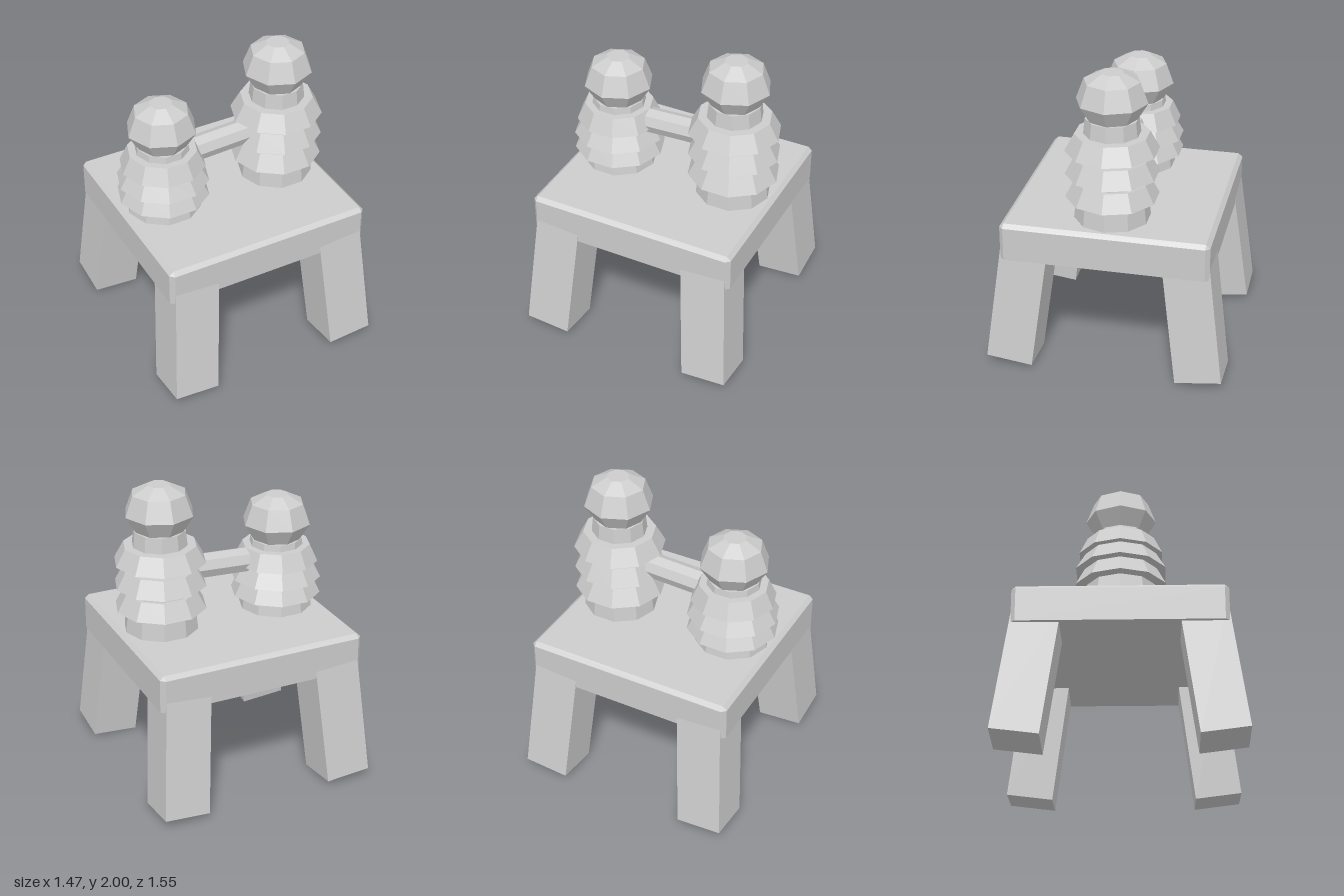
import * as THREE from 'three';
import { ConvexGeometry } from 'three/addons/geometries/ConvexGeometry.js';

const grey = new THREE.MeshStandardMaterial({ color: 0xcccccc, flatShading: true });
grey.name = 'plain grey';

function add(parent, name, geometry) {
  const mesh = new THREE.Mesh(geometry, grey);
  mesh.name = name;
  parent.add(mesh);
  return mesh;
}

// Closed faceted solid of revolution from [radius, y] pairs, bottom to top
function turned(profile, sides) {
  const points = profile.map(([r, y]) => new THREE.Vector2(r, y));
  points.unshift(new THREE.Vector2(0, points[0].y));
  points.push(new THREE.Vector2(0, points[points.length - 1].y));
  return new THREE.LatheGeometry(points, sides).rotateY(Math.PI / 2);
}

// Slab with chamfered upright corners and bevelled top edges
function slab() {
  const X = 0.703, Z = 0.675, c = 0.028, points = [];
  for (const sx of [-1, 1]) {
    for (const sz of [-1, 1]) {
      for (const y of [0.775, 0.997]) {
        points.push(new THREE.Vector3(sx * X, y, sz * (Z - c)));
        points.push(new THREE.Vector3(sx * (X - c), y, sz * Z));
      }
      points.push(new THREE.Vector3(sx * (X - c), 1.022, sz * (Z - c)));
    }
  }
  return new ConvexGeometry(points);
}

// Splayed square leg, its sole square to the slanted axis
function leg(sx, sz) {
  const geometry = new THREE.BoxGeometry(2, 2, 2);
  const p = geometry.attributes.position;
  for (let i = 0; i < p.count; i++) {
    const ox = p.getX(i) * sx, oz = p.getZ(i) * sz; // +1 outer, -1 inner
    const rise = p.getY(i) > 0 ? 0.86 : 0;
    p.setXYZ(i,
      sx * (0.583 + 0.152 * ox - 0.078 * rise),
      0.03 + 0.011 * ox + 0.019 * oz + rise,
      sz * (0.626 + 0.151 * oz - 0.13 * rise));
  }
  geometry.computeVertexNormals();
  return geometry;
}

// Peg: tapered body, three flared rings and a faceted head
function peg(name, x, headBase, rings) {
  const group = new THREE.Group();
  group.name = name;
  group.position.x = x;
  add(group, 'pegBody', turned([[0.248, 1.0], [0.17, headBase + 0.01]], 10));
  for (const [y, bottom, top] of rings) {
    add(group, 'flaredRing', turned([[bottom, y], [top, y + 0.113]], 10));
  }
  const head = add(group, 'head', turned([[0.155, 0], [0.228, 0.12], [0.178, 0.255], [0.075, 0.308]], 8));
  head.position.y = headBase;
  return group;
}

export function createModel() {
  const model = new THREE.Group();
  model.name = 'stoolWithPegs';

  add(model, 'slab', slab());
  for (const sx of [-1, 1]) for (const sz of [-1, 1]) add(model, 'leg', leg(sx, sz));

  model.add(peg('shortPeg', -0.417, 1.492, [[1.122, 0.3, 0.242], [1.235, 0.3, 0.235], [1.346, 0.278, 0.225]]));
  model.add(peg('tallPeg', 0.414, 1.692, [[1.172, 0.3, 0.24], [1.33, 0.3, 0.24], [1.488, 0.3, 0.238]]));

  // Octagonal bar joining the pegs
  const start = new THREE.Vector3(-0.192, 1.376, 0), end = new THREE.Vector3(0.32, 1.4, 0);
  const along = end.clone().sub(start);
  const bar = add(model, 'crossBar', new THREE.CylinderGeometry(0.084, 0.084, along.length(), 8));
  bar.position.copy(start).add(end).multiplyScalar(0.5);
  bar.quaternion.setFromUnitVectors(new THREE.Vector3(0, 1, 0), along.normalize());

  return model;
}
